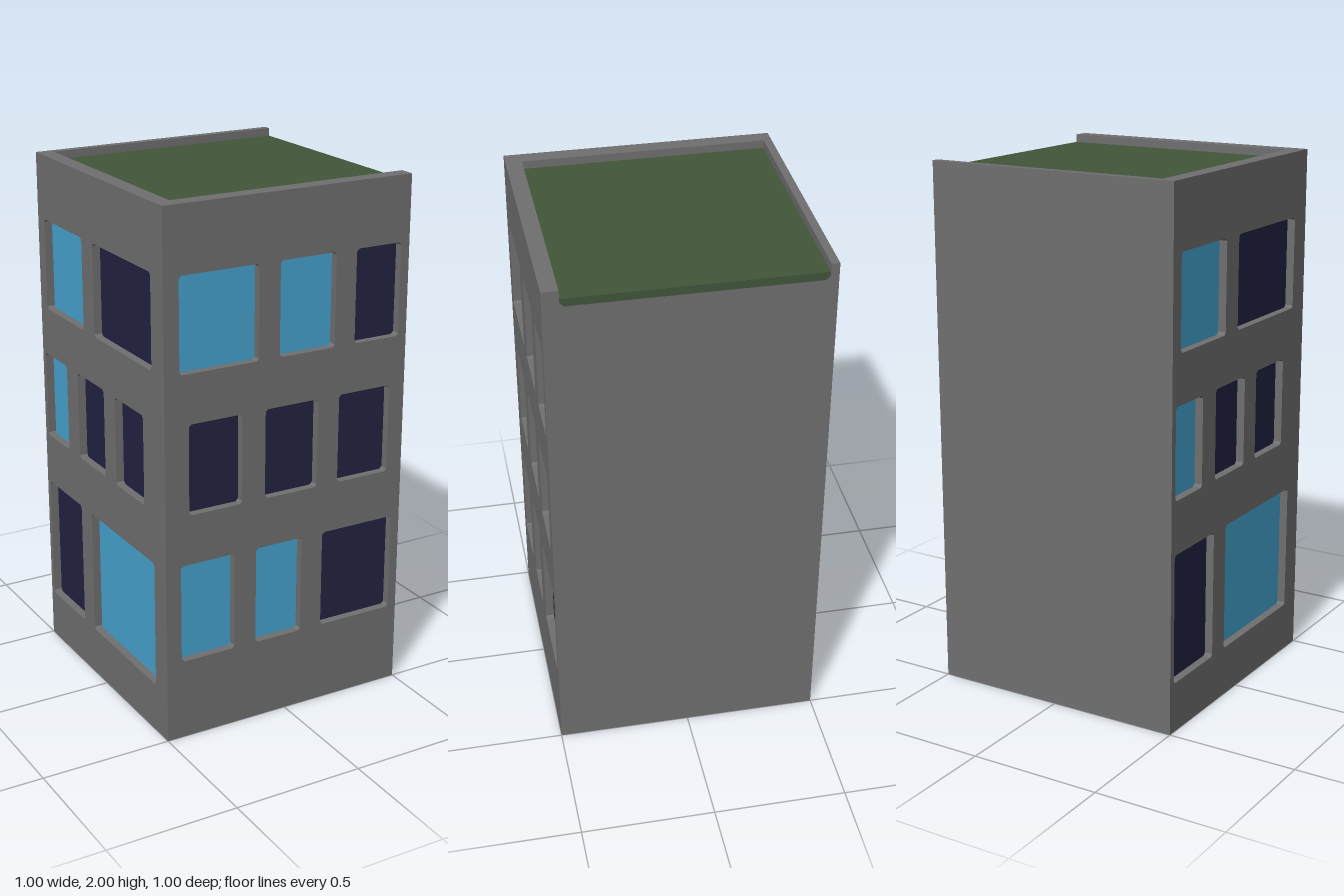
import * as THREE from 'three';

const concrete = new THREE.MeshStandardMaterial({ name: 'concrete grey', color: 0x707070 });
const turf = new THREE.MeshStandardMaterial({ name: 'roof green', color: 0x42573b });
const litGlass = new THREE.MeshStandardMaterial({ name: 'bright blue glass', color: 0x46a4cf });
const darkGlass = new THREE.MeshStandardMaterial({ name: 'dark navy glass', color: 0x222242 });

const HALF = 0.5, HEIGHT = 2, INNER = 0.465; // INNER: plane of the window recesses

function add(parent, name, geometry, material) {
  const mesh = new THREE.Mesh(geometry, material);
  mesh.name = name;
  parent.add(mesh);
  return mesh;
}

// Rectangle with tiny chamfered corners
function openingPoints(x0, x1, y0, y1, c = 0.01) {
  return [
    [x0 + c, y0], [x1 - c, y0], [x1, y0 + c], [x1, y1 - c],
    [x1 - c, y1], [x0 + c, y1], [x0, y1 - c], [x0, y0 + c],
  ].map(([x, y]) => new THREE.Vector2(x, y));
}

// Wall panel pierced by windows, with thin glass plates at the back of each recess
function facade(name, x0, x1, rows) {
  const group = new THREE.Group();
  group.name = name;
  const wall = new THREE.Shape([[x0, 0], [x1, 0], [x1, HEIGHT], [x0, HEIGHT]]
    .map(([x, y]) => new THREE.Vector2(x, y)));
  for (const { y0, y1, windows } of rows) {
    for (const [a, b, glass] of windows) {
      wall.holes.push(new THREE.Path(openingPoints(a, b, y0, y1).reverse()));
      const pane = new THREE.ExtrudeGeometry(new THREE.Shape(openingPoints(a, b, y0, y1)),
        { depth: 0.004, bevelEnabled: false });
      add(group, 'windowPane', pane.translate(0, 0, INNER), glass);
    }
  }
  const panel = new THREE.ExtrudeGeometry(wall, { depth: HALF - INNER, bevelEnabled: false });
  add(group, 'wallPanel', panel.translate(0, 0, INNER), concrete);
  return group;
}

// Extrudes a (z, y) profile along x
function alongX(profile, x0, x1) {
  const shape = new THREE.Shape(profile.map(([z, y]) => new THREE.Vector2(-z, y)));
  return new THREE.ExtrudeGeometry(shape, { depth: x1 - x0, bevelEnabled: false })
    .rotateY(Math.PI / 2).translate(x0, 0, 0);
}

export function createModel() {
  const building = new THREE.Group();
  building.name = 'building';

  // Core with a chamfered trough for the roof, open at the +x end
  const trough = [[0.44, 1.955], [0.425, 1.94], [-0.455, 1.94], [-0.47, 1.955]];
  add(building, 'core', alongX([
    [-HALF, 0], [INNER, 0], [INNER, HEIGHT], [0.44, HEIGHT],
    ...trough, [-0.47, HEIGHT], [-HALF, HEIGHT],
  ], -INNER, HALF), concrete);

  // Green roof slab
  add(building, 'roofSlab', alongX([[0.44, 1.97], ...trough, [-0.47, 1.97]], -0.44, HALF), turf);

  // Inner thickness of the parapet on the -x side
  add(building, 'sideParapet', new THREE.BoxGeometry(0.025, 0.06, 0.91), concrete)
    .position.set(-0.4525, 1.97, -0.015);

  // Front facade
  building.add(facade('frontFacade', -HALF, HALF, [
    { y0: 1.405, y1: 1.755, windows: [[-0.44, -0.125, litGlass], [-0.04, 0.19, litGlass], [0.275, 0.465, darkGlass]] },
    { y0: 0.88, y1: 1.22, windows: [[-0.405, -0.19, darkGlass], [-0.095, 0.125, darkGlass], [0.215, 0.435, darkGlass]] },
    { y0: 0.31, y1: 0.69, windows: [[-0.44, -0.22, litGlass], [-0.13, 0.065, litGlass], [0.155, 0.465, darkGlass]] },
  ]));

  // Facade on the -x side; its local x runs along z
  const side = facade('sideFacade', -HALF, INNER, [
    { y0: 1.405, y1: 1.755, windows: [[-0.445, -0.125, litGlass], [-0.035, 0.41, darkGlass]] },
    { y0: 0.88, y1: 1.22, windows: [[-0.475, -0.285, litGlass], [-0.19, 0.03, darkGlass], [0.12, 0.34, darkGlass]] },
    { y0: 0.19, y1: 0.68, windows: [[-0.475, -0.19, darkGlass], [-0.1, 0.41, litGlass]] },
  ]);
  side.rotation.y = -Math.PI / 2;
  building.add(side);

  return building;
}
